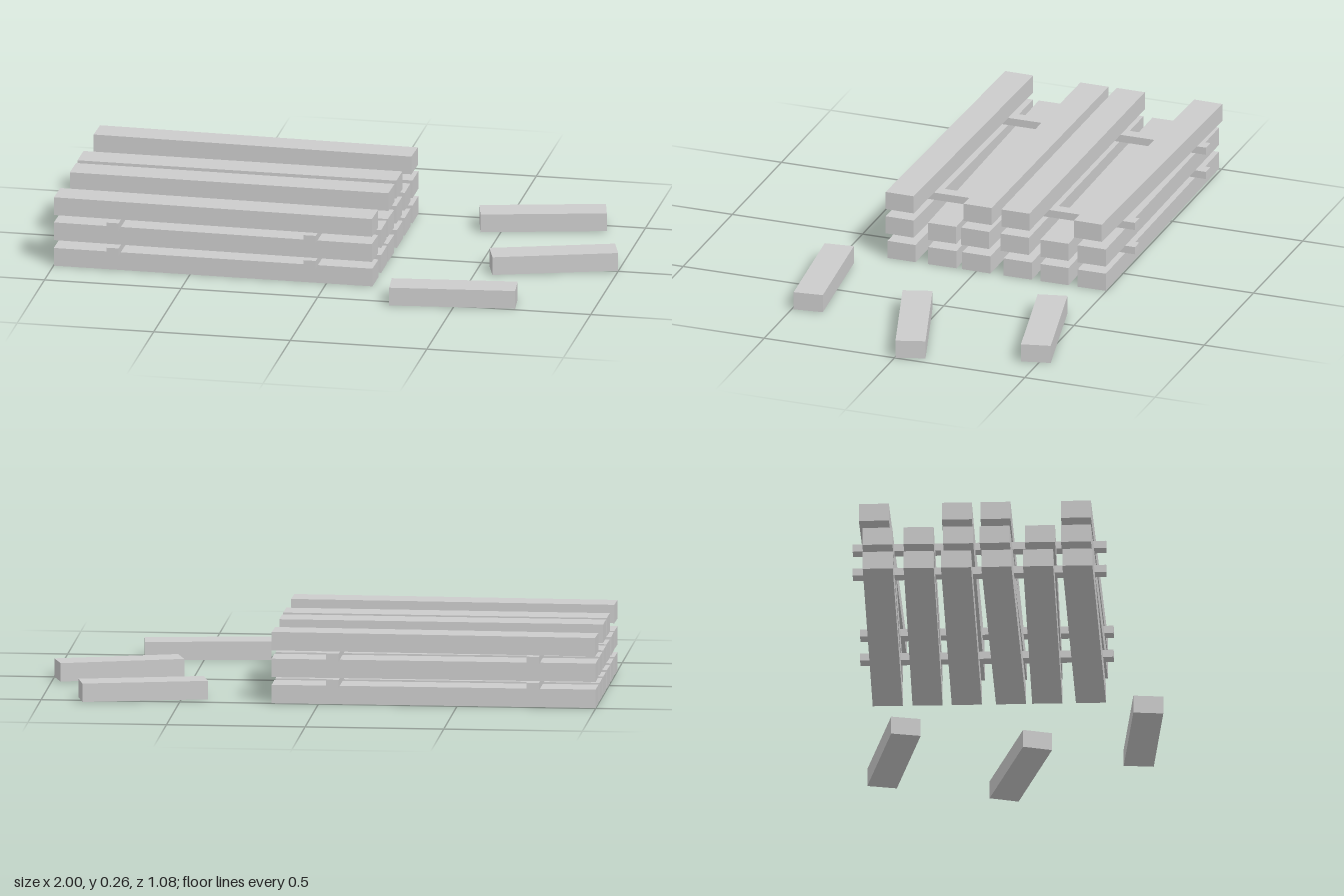
import * as THREE from 'three';

export function createModel() {
  const model = new THREE.Group();
  const wood = new THREE.MeshStandardMaterial({ color: 0xcccccc });
  wood.name = 'greyWood';

  const beamHeight = 0.067, beamWidth = 0.108, stackX = -0.415;
  const beamGeometry = new THREE.BoxGeometry(1.168, beamHeight, beamWidth);
  const spacerGeometry = new THREE.BoxGeometry(0.045, 0.028, 0.911);
  const offcutGeometry = new THREE.BoxGeometry(0.454, beamHeight, beamWidth);

  function add(parent, name, geometry, x, y, z, yaw = 0) {
    const mesh = new THREE.Mesh(geometry, wood);
    mesh.name = name;
    mesh.position.set(x, y, z);
    mesh.rotation.y = yaw;
    parent.add(mesh);
  }

  // Stacked beams, each slightly askew: [z of left end (+x), z of right end (-x)]
  const layers = [
    [[0.287, 0.281], [0.130, 0.140], [0.000, -0.010], [-0.159, -0.155], [-0.300, -0.289], [-0.443, -0.436]],
    [[0.294, 0.276], [0.131, 0.147], [0.004, -0.016], [-0.148, -0.147], [-0.300, -0.289], [-0.443, -0.437]],
    [[0.294, 0.276], [-0.005, -0.013], [-0.150, -0.152], [-0.428, -0.450]],
  ];
  layers.forEach((beams, level) => {
    const layer = new THREE.Group();
    layer.name = 'beamLayer' + (level + 1);
    const y = beamHeight / 2 + 0.001 + level * 0.095;
    for (const [zLeft, zRight] of beams) {
      const yaw = Math.atan2(zRight - zLeft, 1.168);
      add(layer, 'beam', beamGeometry, stackX, y, (zLeft + zRight) / 2, yaw);
    }
    model.add(layer);
  });

  // Spacer sticks between the layers
  for (const y of [0.082, 0.177]) {
    for (const side of [-1, 1]) {
      add(model, 'spacerStick', spacerGeometry, stackX + side * 0.361, y, -0.078);
    }
  }

  // Short loose offcuts lying beside the stack
  for (const [x, z, yaw] of [[0.638, -0.438, 0.227], [0.767, 0.013, 0.305], [0.490, 0.464, 0.113]]) {
    add(model, 'looseOffcut', offcutGeometry, x, beamHeight / 2 + 0.002, z, yaw);
  }

  return model;
}
